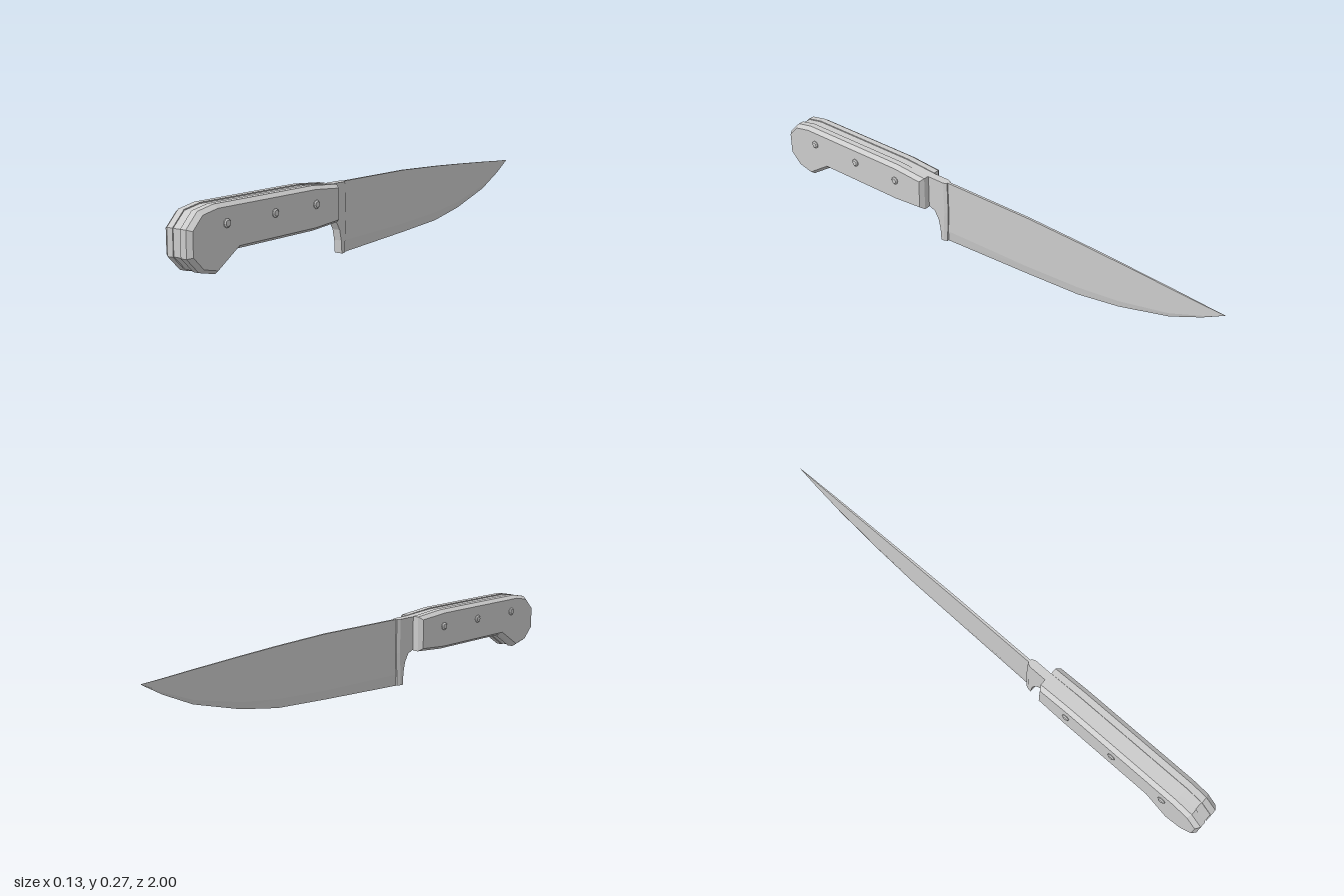
import * as THREE from 'three';

const material = new THREE.MeshStandardMaterial({ color: 0xcccccc, flatShading: true, side: THREE.DoubleSide });

// Joins equal-length rings of [x, y, z] into a closed faceted solid; u and v are the axes of the end caps.
function loft(name, rings, u, v) {
  const n = rings[0].length;
  const tris = [];
  for (let r = 0; r < rings.length - 1; r++) {
    for (let i = 0; i < n; i++) {
      const j = (i + 1) % n;
      const [a, b, c, d] = [rings[r][i], rings[r][j], rings[r + 1][j], rings[r + 1][i]];
      tris.push([a, b, c], [a, c, d]);
    }
  }
  const flat = (ring) => ring.map((p) => new THREE.Vector2(p[u], p[v]));
  [rings[0], rings[rings.length - 1]].forEach((ring, end) => {
    const pts = flat(ring);
    const sign = THREE.ShapeUtils.area(pts);
    for (const f of THREE.ShapeUtils.triangulateShape(pts, [])) {
      const same = THREE.ShapeUtils.area(f.map((k) => pts[k])) * sign > 0;
      const t = f.map((k) => ring[k]);
      tris.push(same === (end === 1) ? t : t.reverse());
    }
  });
  // Turn the faces outward if the solid came out inverted
  let volume = 0;
  const [a, b, c] = [0, 1, 2].map(() => new THREE.Vector3());
  for (const t of tris) {
    volume += a.fromArray(t[0]).dot(b.fromArray(t[1]).cross(c.fromArray(t[2])));
  }
  if (volume < 0) tris.forEach((t) => t.reverse());
  const geometry = new THREE.BufferGeometry();
  geometry.setAttribute('position', new THREE.Float32BufferAttribute(tris.flat(2), 3));
  geometry.computeVertexNormals();
  const mesh = new THREE.Mesh(geometry, material);
  mesh.name = name;
  return mesh;
}

// Moves every side of a [z, y] outline inward by d
function inset(outline, d) {
  const n = outline.length;
  const pts = outline.map((p) => new THREE.Vector2(...p));
  const s = Math.sign(THREE.ShapeUtils.area(pts));
  const normal = (p, q) => new THREE.Vector2(-(q.y - p.y), q.x - p.x).normalize().multiplyScalar(s);
  return pts.map((p, i) => {
    const n1 = normal(pts[(i + n - 1) % n], p);
    const n2 = normal(p, pts[(i + 1) % n]);
    const k = d / (1 + n1.dot(n2));
    return [p.x + (n1.x + n2.x) * k, p.y + (n1.y + n2.y) * k];
  });
}

const ringAt = (outline, x) => outline.map(([z, y]) => [x, y, z]);

export function createModel() {
  const model = new THREE.Group();

  // Handle scales, with a chamfer round the outer face
  const handle = [
    [1, 0.21], [0.95, 0.26], [0.88, 0.273], [0.4, 0.273], [0.263, 0.262], [0.263, 0.128],
    [0.4, 0.118], [0.78, 0.118], [0.88, 0.054], [0.95, 0.07], [1, 0.12],
  ];
  for (const [side, name] of [[1, 'leftScale'], [-1, 'rightScale']]) {
    model.add(loft(name, [
      ringAt(handle, side * 0.016),
      ringAt(handle, side * 0.04),
      ringAt(inset(handle, 0.012), side * 0.057),
    ], 2, 1));
  }

  // Full tang and bolster in one piece; the bolster's front edge is chamfered
  const tang = (front) => [
    [0.997, 0.209], [0.948, 0.257], [0.88, 0.269], [0.4, 0.269], [0.26, 0.26],
    [front, 0.26], [front - 0.003, 0.13], [front + 0.003, 0.003],
    [0.205, 0.003], [0.208, 0.05], [0.217, 0.09], [0.235, 0.12], [0.26, 0.131],
    [0.4, 0.121], [0.781, 0.121], [0.88, 0.058], [0.948, 0.073], [0.997, 0.121],
  ];
  model.add(loft('tangAndBolster', [
    ringAt(tang(0.19), -0.016),
    ringAt(tang(0.176), -0.01),
    ringAt(tang(0.176), 0.01),
    ringAt(tang(0.19), 0.016),
  ], 2, 1));

  // Blade: sections along z as [z, spine, bevel line, cutting edge, half thickness]
  const sections = [
    [0.19, 0.26, 0.045, 0, 0.005],
    [-0.2, 0.259, 0.052, 0.018, 0.0045],
    [-0.43, 0.25, 0.064, 0.031, 0.004],
    [-0.6, 0.241, 0.085, 0.06, 0.0035],
    [-0.8, 0.229, 0.13, 0.115, 0.003],
    [-0.92, 0.221, 0.178, 0.17, 0.002],
    [-1, 0.217, 0.2165, 0.216, 0.0005],
  ];
  model.add(loft('blade', sections.map(([z, top, bevel, edge, t]) => [
    [-t, top, z], [-t, bevel, z], [0, edge, z], [t, bevel, z], [t, top, z],
  ]), 0, 1));

  // Rivets run right through the handle, with domed heads
  const rivetProfile = [
    [0, -0.064], [0.01, -0.064], [0.015, -0.06], [0.015, 0.06], [0.01, 0.064], [0, 0.064],
  ].map((p) => new THREE.Vector2(...p));
  const rivetGeometry = new THREE.LatheGeometry(rivetProfile, 10).rotateZ(Math.PI / 2);
  [0.84, 0.612, 0.4].forEach((z, i) => {
    const rivet = new THREE.Mesh(rivetGeometry, material);
    rivet.name = `rivet${i + 1}`;
    rivet.position.set(0, 0.21, z);
    model.add(rivet);
  });

  return model;
}
